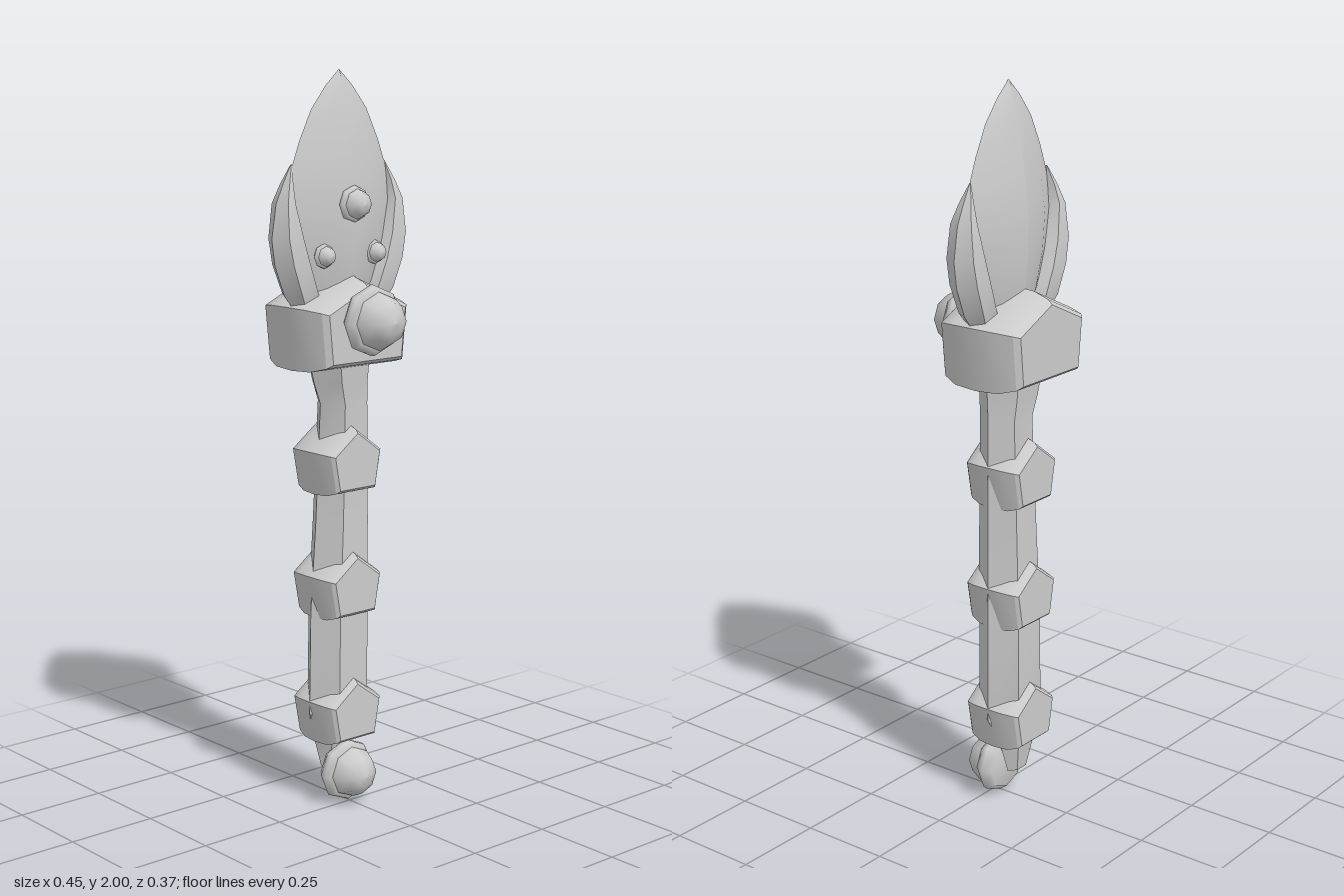
import * as THREE from 'three';
import { toCreasedNormals } from 'three/addons/utils/BufferGeometryUtils.js';

const MID_Z = -0.05;
const material = new THREE.MeshStandardMaterial({ color: 0xcccccc });

function mesh(name, geometry) {
  const m = new THREE.Mesh(geometry, material);
  m.name = name;
  return m;
}

// Skin over equal-length rings, counter-clockwise seen from the last ring, with capped ends
function loft(rings, crease) {
  const n = rings[0].length;
  const index = [];
  for (let i = 0; i < rings.length - 1; i++) {
    for (let j = 0; j < n; j++) {
      const k = (j + 1) % n;
      const a = i * n + j, b = i * n + k;
      index.push(a, b, b + n, a, b + n, a + n);
    }
  }
  const last = (rings.length - 1) * n;
  for (let j = 1; j < n - 1; j++) {
    index.push(0, j + 1, j, last, last + j, last + j + 1);
  }
  const g = new THREE.BufferGeometry();
  g.setAttribute('position', new THREE.Float32BufferAttribute(rings.flat(2), 3));
  g.setIndex(index);
  g.computeVertexNormals();
  return toCreasedNormals(g, crease);
}

// Horizontal section stretched to half-width w and half-depth d
function section(shape, y, cx, cz, w, d) {
  return shape.map(([x, z]) => [cx + x * w, y, cz - z * d]);
}

const HEX = [[1, 0], [0.5, 1], [-0.5, 1], [-1, 0], [-0.5, -1], [0.5, -1]];
const LEAF = [[1, 0], [0.55, 0.66], [0, 1], [-0.55, 0.66], [-1, 0], [-0.55, -0.66], [0, -1], [0.55, -0.66]];

// Pentagonal collar with its point up, rounded towards front and back
function collar(name, base, height, shoulder, halfTop, halfBottom, cz, halfDepth) {
  const outline = [[halfBottom, 0], [halfTop, shoulder], [0, height], [-halfTop, shoulder], [-halfBottom, 0]];
  const cy = height * 0.45;
  const layers = [[-1, 0.77], [-0.9, 0.86], [-0.54, 0.97], [0, 1], [0.54, 0.97], [0.9, 0.86], [1, 0.77]];
  const rings = layers.map(([z, s]) =>
    outline.map(([x, y]) => [x * s, base + cy + (y - cy) * s, cz + z * halfDepth]));
  return mesh(name, loft(rings, 0.45));
}

// Eight-sided gem: a bulging setting and a dome, facing +z with its tip at z = tip
function gem(name, x, y, tip, radius, depth) {
  const group = new THREE.Group();
  group.name = name;
  const parts = {
    Setting: [[0, 0], [0.8, 0.03], [1, 0.22], [0.97, 0.34], [0.8, 0.47], [0, 0.5]],
    Dome: [[0.82, 0.42], [0.8, 0.52], [0.6, 0.82], [0.32, 0.95], [0, 1]],
  };
  for (const [part, profile] of Object.entries(parts)) {
    const points = profile.map(([r, h]) => new THREE.Vector2(r * radius, h * depth));
    const g = new THREE.LatheGeometry(points, 8);
    g.rotateX(Math.PI / 2);
    group.add(mesh(name + part, g));
  }
  group.position.set(x, y, tip - depth);
  return group;
}

export function createModel() {
  const model = new THREE.Group();
  model.name = 'leafBladeSceptre';

  // Slightly uneven six-sided handle: y, centre x, centre z, half-width, half-depth
  const handle = [
    [0.09, 0, -0.075, 0.04, 0.018],
    [0.2, 0, -0.07, 0.075, 0.042],
    [0.26, 0, -0.052, 0.1, 0.068],
    [0.55, 0.003, -0.052, 0.097, 0.068],
    [0.8, 0.012, -0.052, 0.087, 0.064],
    [1.12, 0.02, -0.052, 0.078, 0.057],
    [1.18, 0.01, -0.052, 0.09, 0.063],
    [1.26, 0.005, -0.052, 0.105, 0.07],
  ];
  model.add(mesh('handle', loft(handle.map(([y, cx, cz, w, d]) => section(HEX, y, cx, cz, w, d)), 0.35)));

  // Grip collars
  [0.175, 0.53, 0.875].forEach((base, i) =>
    model.add(collar('gripCollar' + (i + 1), base, 0.195, 0.12, 0.102, 0.08, -0.053, 0.088)));

  // Head block below the blade
  model.add(collar('headBlock', 1.22, 0.25, 0.17, 0.172, 0.155, -0.055, 0.13));

  // Main blade: y, half-width, half-thickness
  const blade = [
    [1.36, 0.08, 0.035], [1.45, 0.13, 0.055], [1.55, 0.168, 0.064], [1.65, 0.182, 0.065],
    [1.74, 0.166, 0.058], [1.82, 0.135, 0.046], [1.9, 0.095, 0.031], [1.96, 0.046, 0.016], [2, 0.002, 0.002],
  ];
  model.add(mesh('blade', loft(blade.map(([y, w, t]) => section(LEAF, y, 0, -0.042, w, t)), 0.4)));

  // Side petals: y, inner x, outer x, half-thickness
  const petal = [
    [1.37, 0.07, 0.145, 0.025], [1.42, 0.075, 0.185, 0.042], [1.5, 0.105, 0.216, 0.046],
    [1.57, 0.13, 0.226, 0.044], [1.66, 0.16, 0.211, 0.034], [1.71, 0.163, 0.188, 0.02], [1.76, 0.158, 0.162, 0.002],
  ];
  for (const [name, side] of [['leftPetal', 1], ['rightPetal', -1]]) {
    const rings = petal.map(([y, a, b, t]) =>
      section(HEX, y, side * (a + b) / 2, MID_Z + 0.005, (b - a) / 2, t));
    model.add(mesh(name, loft(rings, 0.4)));
  }

  // Gems and studs
  model.add(gem('headGem', 0, 1.355, 0.185, 0.095, 0.125));
  model.add(gem('pommel', 0, 0.087, 0.075, 0.087, 0.12));
  model.add(gem('upperStud', 0, 1.655, 0.067, 0.049, 0.065));
  model.add(gem('leftStud', 0.088, 1.522, 0.034, 0.033, 0.045));
  model.add(gem('rightStud', -0.088, 1.522, 0.034, 0.033, 0.045));

  return model;
}
